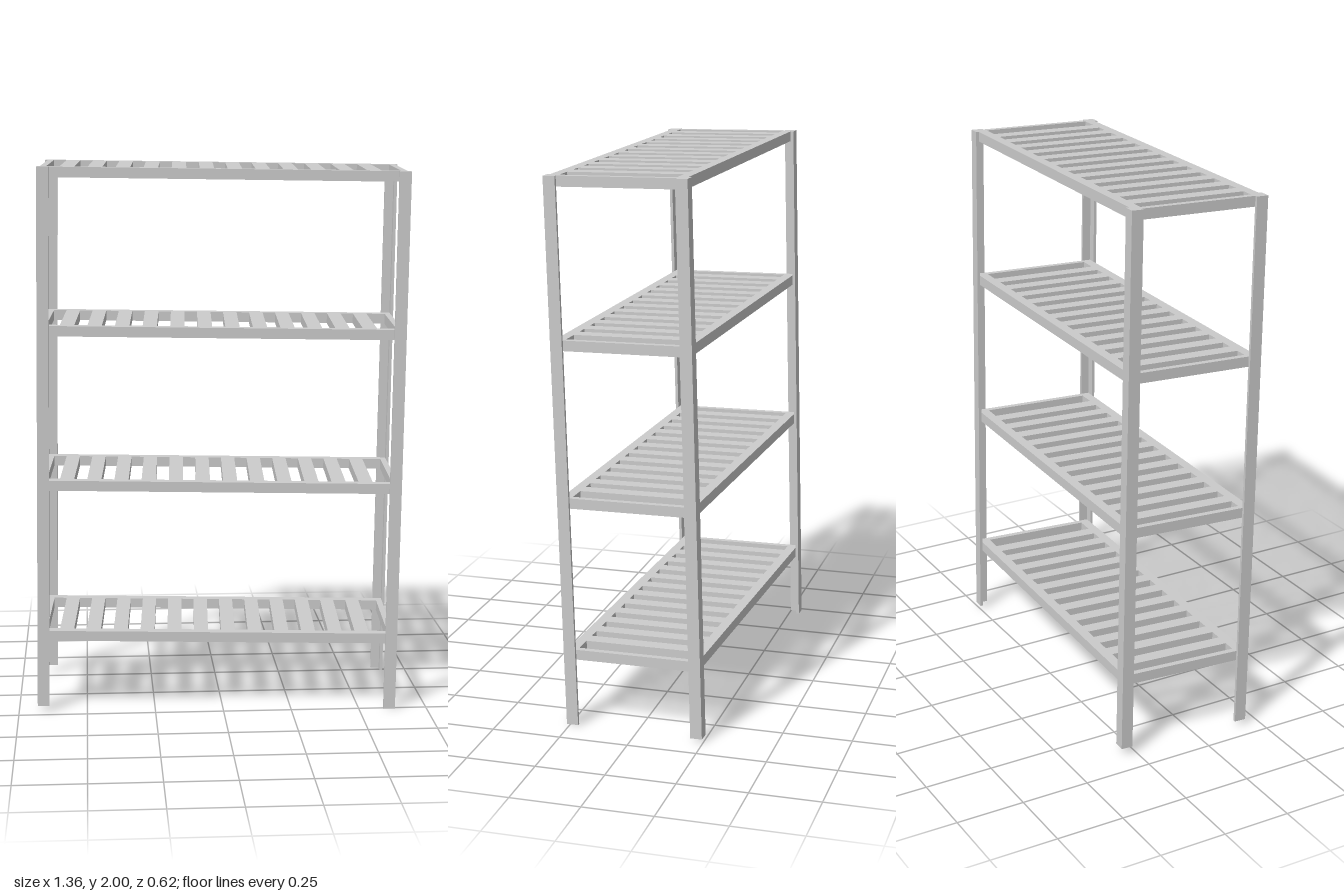
import * as THREE from 'three';

const W = 1.317, D = 0.509, H = 1.97;   // overall rack size
const LEG = 0.043, T = 0.011;           // angle-post flange width and thickness
const SHELF_H = 0.037;

const material = new THREE.MeshStandardMaterial({ color: 0xcccccc, flatShading: true });

// Extrude an outline drawn in plan (x, -z) upward along y
function extrudeUp(shape, height) {
  const geo = new THREE.ExtrudeGeometry(shape, { depth: height, bevelEnabled: false });
  return geo.rotateX(-Math.PI / 2);
}

const polygon = (pts) => pts.map(([x, y]) => new THREE.Vector2(x, y));
const rect = (x0, x1, y0, y1) => polygon([[x0, y0], [x1, y0], [x1, y1], [x0, y1]]);

// L-section corner post, its open side facing the middle of the rack
function makePost(sx, sz) {
  const a = W / 2, b = D / 2;
  const outline = [[a, b], [a - LEG, b], [a - LEG, b - T], [a - T, b - T], [a - T, b - LEG], [a, b - LEG]];
  const shape = new THREE.Shape(polygon(outline.map(([x, y]) => [x * sx, -y * sz])));
  const post = new THREE.Mesh(extrudeUp(shape, H), material);
  post.position.y = -H / 2;
  post.name = (sz > 0 ? 'front' : 'back') + (sx > 0 ? 'Left' : 'Right') + 'Post';
  return post;
}

// Slatted shelf: evenly spaced slots, with a wider one left over at the +x end
function makeShelfGeometry() {
  const hx = W / 2 - T, hz = D / 2 - T;
  const shape = new THREE.Shape(rect(-hx, hx, -hz, hz));
  const slots = 13, pitch = 0.0985, slotW = 0.047, slotZ = 0.207, end = hx - 0.022;
  for (let i = 0; i < slots; i++) {
    const x0 = -end + i * pitch;
    const x1 = i === slots - 1 ? end : x0 + slotW;
    shape.holes.push(new THREE.Path(rect(x0, x1, -slotZ, slotZ)));
  }
  return extrudeUp(shape, SHELF_H);
}

export function createModel() {
  const model = new THREE.Group();
  model.name = 'shelvingRack';
  const rack = new THREE.Group();
  rack.name = 'rack';
  model.add(rack);

  for (const sx of [-1, 1]) for (const sz of [-1, 1]) rack.add(makePost(sx, sz));

  const shelfGeometry = makeShelfGeometry();
  for (let i = 0; i < 4; i++) {
    const shelf = new THREE.Mesh(shelfGeometry, material);
    shelf.position.y = H / 2 - SHELF_H - (3 - i) * 0.562;
    shelf.name = 'shelf' + (i + 1);
    rack.add(shelf);
  }

  // The whole rack stands slightly turned and tilted
  const xAxis = new THREE.Vector3(0.9987, -0.0135, 0.048).normalize();
  const zAxis = new THREE.Vector3().crossVectors(xAxis, new THREE.Vector3(0.0125, 0.9997, 0.0232)).normalize();
  const yAxis = new THREE.Vector3().crossVectors(zAxis, xAxis);
  rack.quaternion.setFromRotationMatrix(new THREE.Matrix4().makeBasis(xAxis, yAxis, zAxis));
  rack.position.y = 1;
  return model;
}
